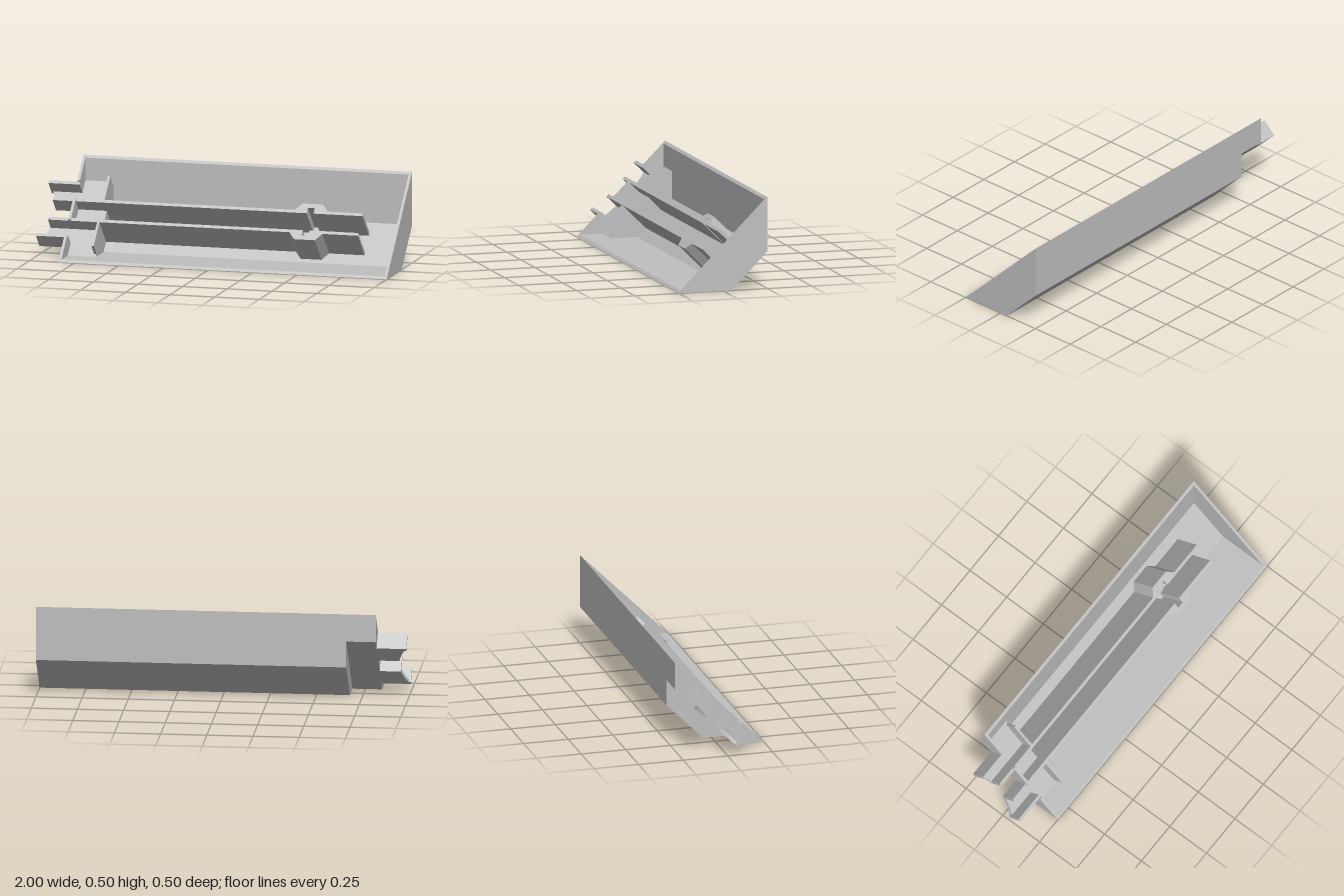
import * as THREE from 'three';

// Sections use v = distance up the 45-degree open face, d = depth below it (both already divided by sqrt 2).
const WALL = 0.0135;
const DEEP = 0.1475, FLOOR = 0.1375;      // main trough: outside and inside depth
const SHALLOW = 0.0755, LEDGE = 0.062;    // raised end: outside and inside depth
const TOP = 0.007;                        // top of ribs, just below the rim
const LEFT = -0.84, STEP = -0.68, RIGHT = 1;

export function createModel() {
  const model = new THREE.Group();
  const grey = new THREE.MeshStandardMaterial({ color: 0xbfbfbf });
  grey.name = 'light grey';

  const tilt = new THREE.Matrix4().makeBasis(
    new THREE.Vector3(1, 0, 0), new THREE.Vector3(0, 1, -1), new THREE.Vector3(0, 1, 1)
  ).setPosition(0, 0, 0.25);

  const add = (name, geometry) => {
    const mesh = new THREE.Mesh(geometry, grey);
    mesh.name = name;
    model.add(mesh);
  };
  const extrude = (points, depth) => new THREE.ExtrudeGeometry(
    new THREE.Shape(points.map(([a, b]) => new THREE.Vector2(a, b))), { depth, bevelEnabled: false });

  // Cross-section in (v, d) swept along x
  const section = (name, points, x0, x1) => {
    const g = extrude(points.map(([v, d]) => [v + d - 0.25, v - d]), x1 - x0);
    add(name, g.rotateY(Math.PI / 2).translate(x0, 0, 0));
  };
  // Plan outline in (x, v) sunk from depth d0 to d1
  const plan = (name, points, d0, d1) =>
    add(name, extrude(points, d1 - d0).translate(0, 0, -d1).applyMatrix4(tilt));
  const bar = (name, x0, x1, v0, v1, d0, d1) =>
    plan(name, [[x0, v0], [x1, v0], [x1, v1], [x0, v1]], d0, d1);

  // Trough shell, shallower at the left end
  const shell = (name, x0, x1, out, inn) => section(name, [
    [0, 0], [out, out], [0.5 - out, out], [0.5, 0],
    [0.5 - WALL, 0], [0.5 - WALL - inn, inn], [WALL + inn, inn], [WALL, 0],
  ], x0, x1);
  shell('mainTrough', STEP, RIGHT, DEEP, FLOOR);
  shell('raisedEnd', LEFT, STEP, SHALLOW, LEDGE);

  // End wall, step wall and the middle piece of the left wall
  section('rightEndWall', [[0, 0], [DEEP, DEEP], [0.5 - DEEP, DEEP], [0.5, 0]], RIGHT - 0.015, RIGHT);
  section('stepWall', [[LEDGE, LEDGE], [DEEP, DEEP], [0.5 - DEEP, DEEP], [0.5 - LEDGE, LEDGE]], STEP, STEP + 0.013);
  bar('leftWallMiddle', LEFT, LEFT + 0.015, 0.2, 0.3, 0, SHALLOW);

  // Parts repeated on both sides of the centre line
  for (const side of [-1, 1]) {
    const label = side < 0 ? 'lower' : 'upper';
    const at = (o) => 0.25 + side * o;    // o = offset from the centre line
    const inner = 0.039, outer = 0.052;

    // Long rib with a clip bump and a groove in it
    plan(label + 'Rib', [
      [STEP, at(inner)], [0.468, at(inner)], [0.468, at(0.064)], [0.506, at(0.064)],
      [0.506, at(inner)], [0.78, at(inner)], [0.78, at(outer)], [0.582, at(outer)],
      [0.548, at(0.083)], [0.432, at(0.083)], [0.397, at(outer)], [STEP, at(outer)],
    ], TOP, FLOOR);

    // Cross plate beside the rib
    section(label + 'CrossPlate', [
      [at(outer), TOP], [at(0.1625), TOP], [at(0.1625), SHALLOW], [at(outer), SHALLOW],
    ], STEP, STEP + 0.013);

    // Left wall beyond the channel
    section(label + 'LeftWall', [
      [at(0.25), 0], [at(0.25 - SHALLOW), SHALLOW], [at(0.129), SHALLOW], [at(0.129), 0],
    ], LEFT, LEFT + 0.015);

    // Channel tab: short inner wall, long outer wall, floor with a curved end
    bar(label + 'TabInnerWall', -0.955, STEP, at(inner), at(outer), TOP, SHALLOW);
    bar(label + 'TabOuterWall', -1, LEFT + 0.015, at(0.116), at(0.129), TOP, SHALLOW);
    const end = new THREE.QuadraticBezierCurve(
      new THREE.Vector2(-0.955, at(inner)), new THREE.Vector2(-0.967, at(0.09)),
      new THREE.Vector2(-1, at(0.129))).getPoints(8).map((p) => [p.x, p.y]);
    plan(label + 'TabFloor', [[LEFT, at(inner)], ...end, [LEFT, at(0.129)]], LEDGE, SHALLOW);
  }
  return model;
}
